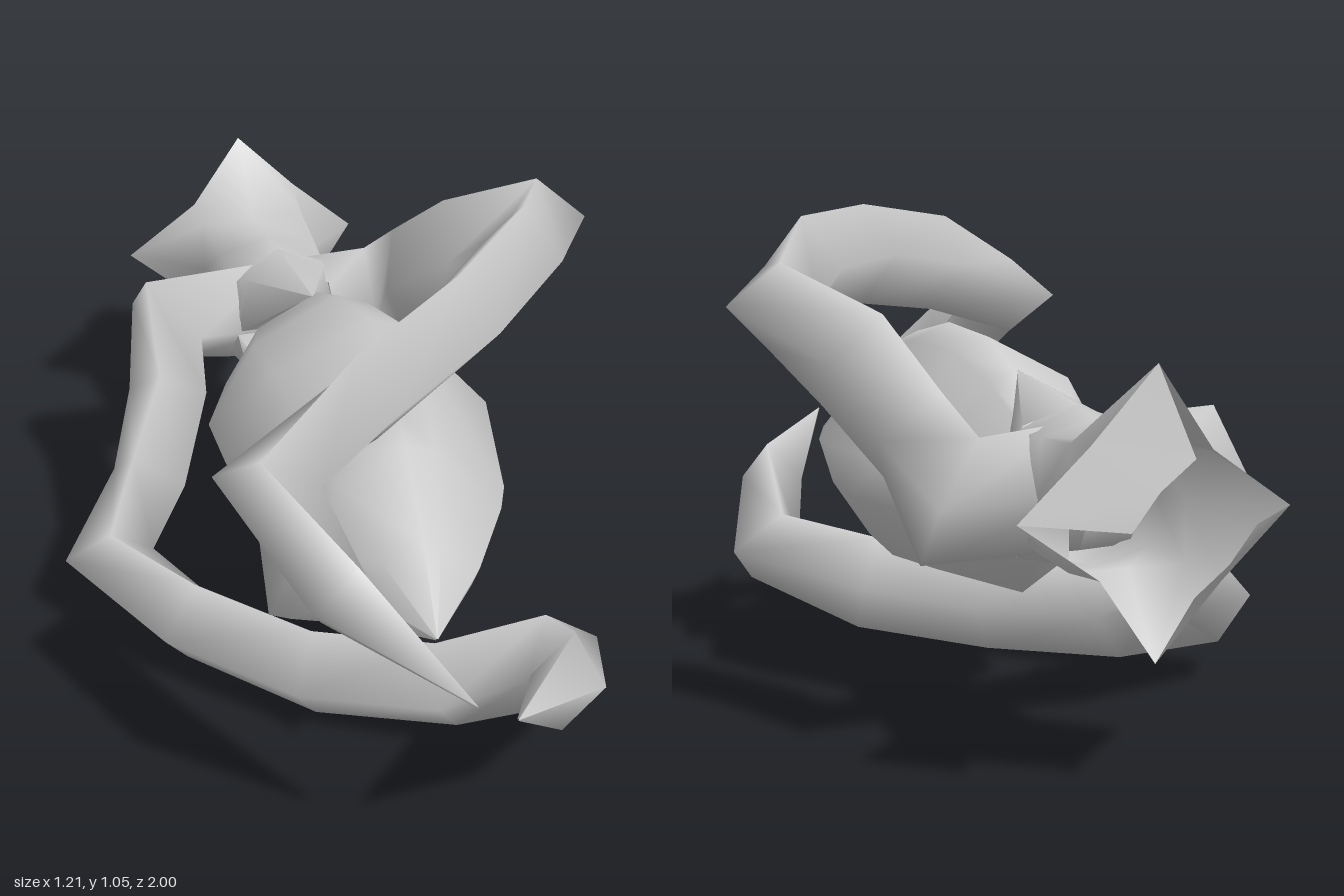
import * as THREE from 'three';

const V = (x, y, z) => new THREE.Vector3(x, y, z);
const material = new THREE.MeshStandardMaterial({ color: 0xcccccc });
const thin = new THREE.MeshStandardMaterial({ color: 0xcccccc, side: THREE.DoubleSide });

// Smooth skin over rings of equal size (counter-clockwise about the direction of travel)
function loft(rings, closed = true) {
  const n = rings[0].length, positions = [], index = [];
  rings.forEach(ring => ring.forEach(p => positions.push(p.x, p.y, p.z)));
  for (let i = 0; i < rings.length - 1; i++) {
    for (let j = 0; j < (closed ? n : n - 1); j++) {
      const a = i * n + j, b = i * n + (j + 1) % n;
      index.push(a, b, a + n, b, b + n, a + n);
    }
  }
  const geometry = new THREE.BufferGeometry();
  geometry.setAttribute('position', new THREE.Float32BufferAttribute(positions, 3));
  geometry.setIndex(index);
  geometry.computeVertexNormals();
  return geometry;
}

// Diamond-section arm; each station is [x, y, z, side radius, upright radius]
function armGeometry() {
  const stations = [
    [0, 0, -0.5, 0.09, 0.13],
    [0.27, -0.015, -0.5, 0.115, 0.14],
    [0.3, 0.1, -0.38, 0.09, 0.125],
    [0.38, 0.24, -0.25, 0.09, 0.12],
    [0.505, 0.345, -0.125, 0.1, 0.1],
    [0.37, 0.405, 0.085, 0.09, 0.11],
    [0.155, 0.415, 0.32, 0.088, 0.112],
    [-0.09, 0.38, 0.48, 0.085, 0.112],
    [-0.315, 0.29, 0.57, 0.105, 0.1],
    [-0.235, 0.16, 0.78, 0.075, 0.1],
    [-0.04, 0.025, 1, 0.002, 0.002],
  ];
  const centre = stations.map(s => V(s[0], s[1], s[2]));
  const step = i => centre[i + 1].clone().sub(centre[i]).normalize();
  const end = centre.length - 1;
  return loft(stations.map((s, i) => {
    const t = step(Math.min(i, end - 1)).add(step(Math.max(i - 1, 0))).normalize();
    const side = t.clone().cross(V(0, 1, 0)).normalize();
    const up = side.clone().cross(t);
    return [[-1, 0], [0, 1], [1, 0], [0, -1]].map(([a, b]) =>
      centre[i].clone().addScaledVector(side, a * s[3]).addScaledVector(up, b * s[4]));
  }));
}

// Lopsided stone; each station is [z, left x, right x, low y, high y, upper-left trim, lower-left trim]
function stoneGeometry() {
  const stations = [
    [-0.381, 0.009, 0.011, -0.011, -0.009, 1, 1],
    [-0.38, -0.07, 0.09, -0.1, 0.08, 1, 0.9],
    [-0.22, -0.2, 0.19, -0.2, 0.2, 1, 0.75],
    [-0.1, -0.27, 0.26, -0.3, 0.26, 1, 0.75],
    [0.05, -0.275, 0.32, -0.295, 0.28, 1, 0.9],
    [0.33, -0.275, 0.26, -0.295, 0.235, 0.85, 1.1],
    [0.42, -0.25, 0.22, -0.23, 0.21, 0.8, 1.1],
    [0.57, -0.15, 0.12, -0.12, 0.08, 0.85, 1],
    [0.745, -0.032, -0.028, -0.022, -0.018, 1, 1],
  ];
  return loft(stations.map(([z, x0, x1, y0, y1, upper, lower]) => [
    [1, 0.1], [0.38, 0.88], [0.1, 1], [-0.6 * upper, 0.66], [-upper, 0],
    [-0.84 * lower, -0.74], [-0.2, -1], [0.55, -0.76], [0.88, -0.28],
  ].map(([u, v]) =>
    V((x0 + x1) / 2 + (x1 - x0) / 2 * u, (y0 + y1) / 2 + (y1 - y0) / 2 * v, z))));
}

// Square neck opening into a hollow flange; each station is
// [z, corner, notched corner, half width, half height]
function neckGeometry() {
  const stations = [
    [-0.85, 0.135, 0.115, 0.28, 0.28],
    [-0.73, 0.122, 0.122, 0.122, 0.122],
    [-0.59, 0.115, 0.115, 0.125, 0.145],
    [-0.5, 0.11, 0.11, 0.125, 0.163],
    [-0.42, 0.1, 0.1, 0.12, 0.15],
  ];
  return loft(stations.map(([z, c, d, w, h]) =>
    [[w, 0], [c, c], [0, h], [-d, d], [-w, 0], [-c, -c], [0, -h], [d, -d]]
      .map(([x, y]) => V(x, y, z))));
}

// Wedge running forward from the hub to a point
function spikeGeometry() {
  return loft([
    [V(0.12, 0, -0.42), V(0.1, 0.12, -0.46), V(0, 0.163, -0.5), V(-0.1, 0.12, -0.46), V(-0.12, 0, -0.42)],
    [0.002, 0.001, 0, -0.001, -0.002].map(x => V(x, 0.2, -0.205)),
  ]);
}

// One quarter of the flange wall carried on to the open back end
function prongGeometry() {
  return loft([
    [V(0.125, 0, -1), V(0.07, 0.07, -1), V(0, 0.125, -1)],
    [V(0.28, 0, -0.85), V(0.135, 0.135, -0.85), V(0, 0.28, -0.85)],
  ], false);
}

export function createModel() {
  const model = new THREE.Group();
  model.name = 'clawHoldingStone';
  const body = new THREE.Group();
  body.name = 'body';
  body.position.y = 0.528;
  model.add(body);

  const add = (name, geometry, surface, turn = 0) => {
    const mesh = new THREE.Mesh(geometry, surface);
    mesh.name = name;
    mesh.rotation.z = turn;
    body.add(mesh);
  };

  add('stone', stoneGeometry(), material);
  add('neck', neckGeometry(), thin);

  // Paired parts, half a turn apart about the long axis
  const arm = armGeometry(), spike = spikeGeometry(), prong = prongGeometry();
  [['upper', 0], ['lower', Math.PI]].forEach(([place, turn]) => {
    add(place + 'Arm', arm, material, turn);
    add(place + 'Spike', spike, material, turn);
    add(place + 'Prong', prong, thin, turn);
  });
  return model;
}
